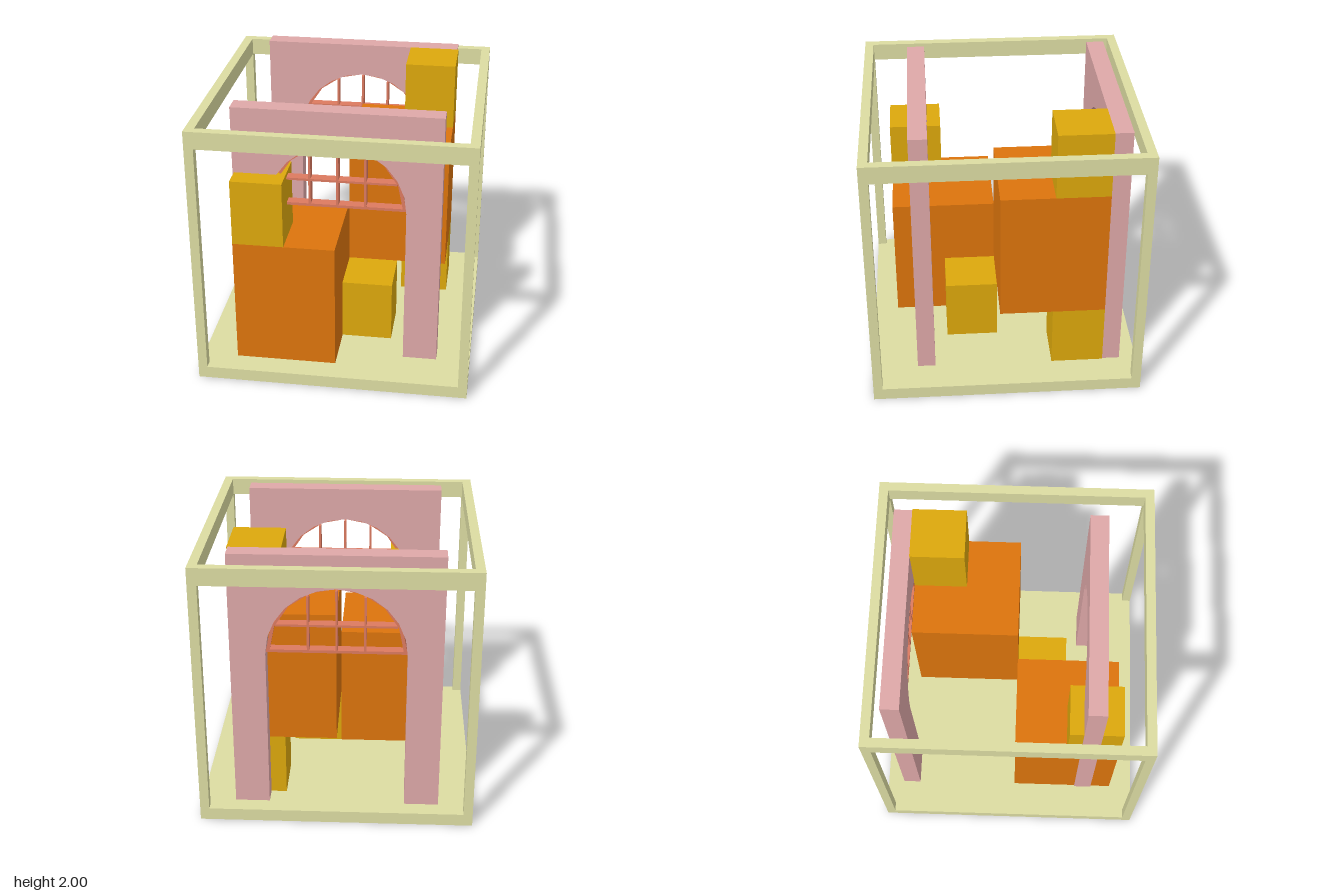
import * as THREE from 'three';

const mat = (color) => new THREE.MeshStandardMaterial({ color, flatShading: true });

// Box given by its minimum and maximum corners
function block(name, material, [x0, y0, z0], [x1, y1, z1]) {
  const mesh = new THREE.Mesh(new THREE.BoxGeometry(x1 - x0, y1 - y0, z1 - z0), material);
  mesh.position.set((x0 + x1) / 2, (y0 + y1) / 2, (z0 + z1) / 2);
  mesh.name = name;
  return mesh;
}

// Faceted half circle from +x over the top to -x
function arc(radius, cy, segments) {
  return Array.from({ length: segments + 1 }, (_, i) => {
    const a = (Math.PI * i) / segments;
    return new THREE.Vector2(radius * Math.cos(a), cy + radius * Math.sin(a));
  });
}

function extrude(name, shape, depth, material) {
  const geo = new THREE.ExtrudeGeometry(shape, { depth, bevelEnabled: false });
  geo.translate(0, 0, -depth / 2);
  const mesh = new THREE.Mesh(geo, material);
  mesh.name = name;
  return mesh;
}

const FLOOR = 0.09, SPRING = 1.275, R = 0.485, WALL = 0.73;

// Wall with an arched doorway and a fanlight in the arch
function archWall(name, z, pink, red) {
  const group = new THREE.Group();
  group.name = name;
  const v = (x, y) => new THREE.Vector2(x, y);
  const outline = new THREE.Shape([
    v(-WALL, FLOOR), v(-WALL, 2), v(WALL, 2), v(WALL, FLOOR), v(R, FLOOR),
    ...arc(R, SPRING, 12), v(-R, FLOOR),
  ]);
  group.add(extrude('wall', outline, 0.13, pink));

  // Fanlight rim with its sill
  const rim = new THREE.Shape(arc(R, SPRING, 8));
  rim.holes.push(new THREE.Path(arc(0.457, SPRING + 0.02, 8).reverse()));
  group.add(extrude('windowRim', rim, 0.075, red));

  // Glazing bars
  const d = 0.0375, t = 0.008, r = 0.465;
  for (const x of [-0.195, 0, 0.195]) {
    const top = SPRING + Math.sqrt(r * r - x * x) - 0.005;
    group.add(block('verticalBar', red, [x - t, SPRING + 0.01, -d], [x + t, top, d]));
  }
  group.add(block('horizontalBar', red, [-0.415, 1.469, -d], [0.415, 1.485, d]));
  group.position.z = z;
  return group;
}

export function createModel() {
  const model = new THREE.Group();
  const cream = mat(0xdcdca2), pink = mat(0xdea8a8), red = mat(0xdc7a60);
  const orange = mat(0xdc740c), yellow = mat(0xdca80c);

  // Open cube frame on a solid floor
  const H = 0.973, I = 0.908, TOP = 1.945, RAIL = 1.82;
  const frame = new THREE.Group();
  frame.name = 'frame';
  frame.add(block('floor', cream, [-H, 0, -H], [H, FLOOR, H]));
  for (const s of [-1, 1]) {
    const lo = s < 0 ? -H : I, hi = s < 0 ? -I : H;
    frame.add(block('topRailX', cream, [-H, RAIL, lo], [H, TOP, hi]));
    frame.add(block('topRailZ', cream, [lo, RAIL, -I], [hi, TOP, I]));
    for (const [z0, z1] of [[-H, -I], [I, H]]) {
      frame.add(block('post', cream, [lo, FLOOR, z0], [hi, RAIL, z1]));
    }
  }
  model.add(frame);

  // Arched walls
  model.add(archWall('frontWall', 0.585, pink, red));
  model.add(archWall('backWall', -0.785, pink, red));

  // Large and small blocks
  model.add(
    block('frontLargeBlock', orange, [-0.72, FLOOR, 0.04], [0.005, 1.03, 0.8]),
    block('backLargeBlock', orange, [0.005, 0.55, -0.722], [0.738, 1.515, 0.04]),
    block('frontUpperBlock', yellow, [-0.72, 1.03, 0.42], [-0.357, 1.515, 0.8]),
    block('frontLowerBlock', yellow, [0.005, FLOOR, 0.04], [0.373, 0.55, 0.42]),
    block('backLowerBlock', yellow, [0.373, FLOOR, -0.722], [0.738, 0.55, -0.342]),
    block('backUpperBlock', yellow, [0.373, 1.515, -0.722], [0.738, 2, -0.342]),
  );
  return model;
}
